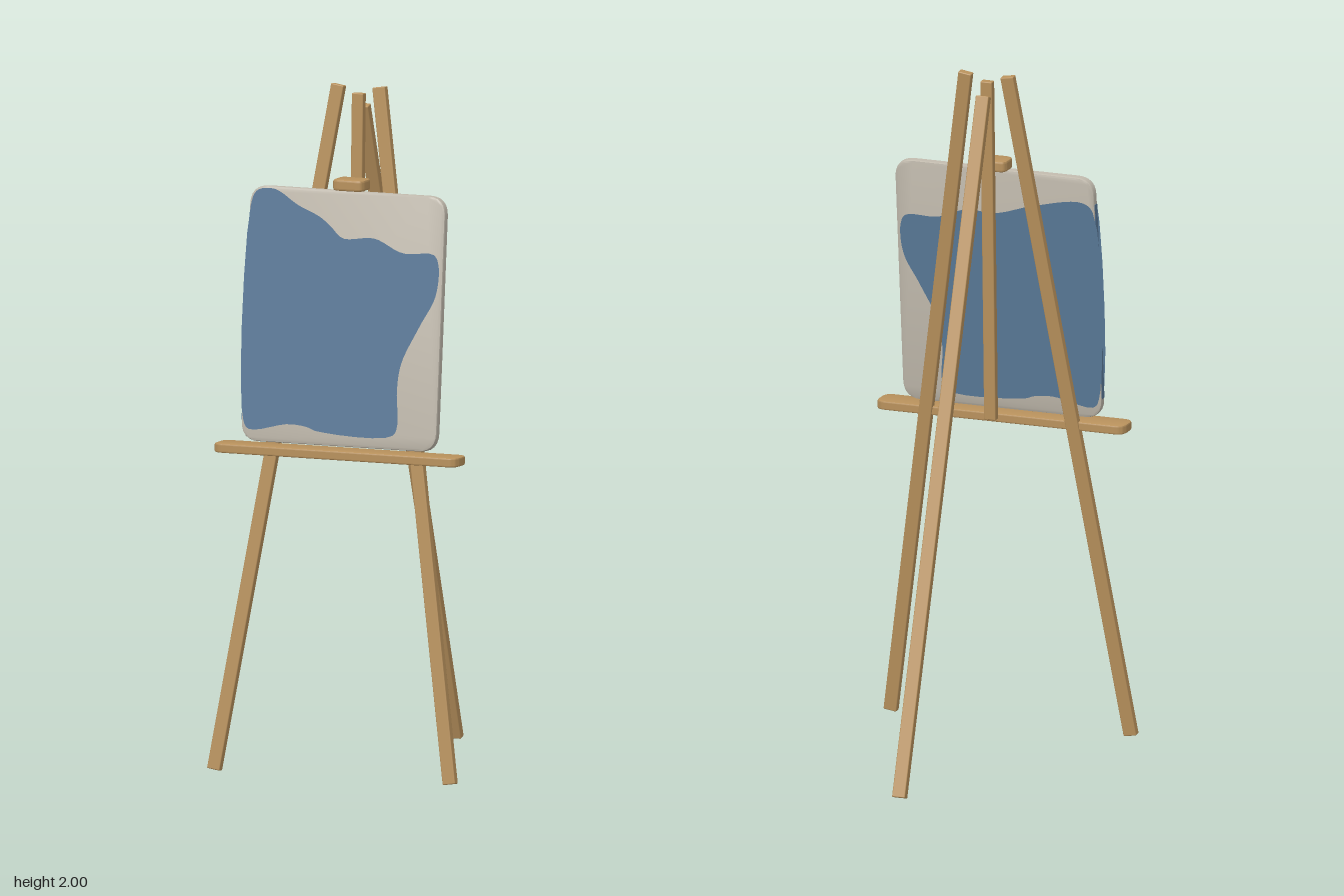
import * as THREE from 'three';
import { toCreasedNormals } from 'three/addons/utils/BufferGeometryUtils.js';
import { RoundedBoxGeometry } from 'three/addons/geometries/RoundedBoxGeometry.js';

const material = (name, color, side = THREE.FrontSide) => {
  const m = new THREE.MeshStandardMaterial({ color, side });
  m.name = name;
  return m;
};

// Rectangular bar running between two points, its width lying along x
function bar(name, from, to, width, depth, mat) {
  const a = new THREE.Vector3(...from), b = new THREE.Vector3(...to);
  const dir = b.clone().sub(a), length = dir.length();
  dir.normalize();
  const z = new THREE.Vector3(1, 0, 0).cross(dir).normalize();
  const x = dir.clone().cross(z);
  const mesh = new THREE.Mesh(new RoundedBoxGeometry(width, length, depth, 2, 0.003), mat);
  mesh.quaternion.setFromRotationMatrix(new THREE.Matrix4().makeBasis(x, dir, z));
  mesh.position.copy(a.add(b).multiplyScalar(0.5));
  mesh.name = name;
  return mesh;
}

// Rounded rectangular slab with softened edges, centred on the origin
function slab(name, width, height, depth, radius, bevel, mat) {
  const w = width / 2 - bevel, h = height / 2 - bevel, r = radius;
  const s = new THREE.Shape();
  s.moveTo(-w + r, -h);
  s.lineTo(w - r, -h);
  s.quadraticCurveTo(w, -h, w, -h + r);
  s.lineTo(w, h - r);
  s.quadraticCurveTo(w, h, w - r, h);
  s.lineTo(-w + r, h);
  s.quadraticCurveTo(-w, h, -w, h - r);
  s.lineTo(-w, -h + r);
  s.quadraticCurveTo(-w, -h, -w + r, -h);
  const g = new THREE.ExtrudeGeometry(s, {
    depth: depth - 2 * bevel, bevelEnabled: true, bevelThickness: bevel,
    bevelSize: bevel, bevelSegments: 2, curveSegments: 6,
  });
  g.translate(0, 0, -depth / 2 + bevel);
  const mesh = new THREE.Mesh(toCreasedNormals(g, 0.7), mat);
  mesh.name = name;
  return mesh;
}

// Flat paint patch with a softly wandering outline
function paintPatch(name, points, centreY, z, mat) {
  const curve = new THREE.CatmullRomCurve3(
    points.map(([x, y]) => new THREE.Vector3(x, y - centreY, 0)), true, 'centripetal');
  const outline = curve.getPoints(120).slice(0, -1).map(p => new THREE.Vector2(p.x, p.y));
  const mesh = new THREE.Mesh(new THREE.ShapeGeometry(new THREE.Shape(outline)), mat);
  mesh.position.z = z;
  mesh.name = name;
  return mesh;
}

export function createModel() {
  const model = new THREE.Group();
  model.name = 'easel';
  const wood = material('wood', 0xb8915c);
  const linen = material('linen', 0xc0b9ac);
  const blue = material('bluePaint', 0x5a7a99, THREE.DoubleSide);

  // Legs and centre post
  for (const [side, s] of [['left', 1], ['right', -1]]) {
    model.add(bar(side + 'FrontLeg', [s * 0.373, 0.004, 0.437], [s * 0.065, 1.996, 0.247], 0.04, 0.023, wood));
  }
  model.add(bar('rearLeg', [0, 0.004, -0.436], [0, 1.937, 0.221], 0.04, 0.024, wood));
  model.add(bar('centrePost', [0, 0.953, 0.28], [0, 1.975, 0.25], 0.036, 0.023, wood));

  // Tray and top clamp, laid flat
  const tray = slab('tray', 0.772, 0.086, 0.027, 0.025, 0.005, wood);
  tray.rotation.x = -Math.PI / 2;
  tray.position.set(0, 0.94, 0.385);
  const clamp = slab('topClamp', 0.098, 0.073, 0.033, 0.014, 0.007, wood);
  clamp.rotation.x = -Math.PI / 2;
  clamp.position.set(0, 1.715, 0.301);
  model.add(tray, clamp);

  // Canvas leaning back with the front legs
  const centreY = 1.33;
  const canvas = new THREE.Group();
  canvas.name = 'canvas';
  canvas.position.set(0, centreY, 0.349);
  canvas.rotation.x = -0.095;
  canvas.add(slab('canvasBoard', 0.618, 0.74, 0.028, 0.05, 0.006, linen));

  // Paint: right-hand outline and lower edge are shared by front and back
  const lower = [
    [0.28, 1.53], [0.296, 1.5], [0.29, 1.41], [0.243, 1.32], [0.19, 1.21], [0.18, 1.13],
    [0.185, 1.03], [0.17, 1.0], [-0.07, 1.0], [-0.1, 1.01], [-0.16, 1.015], [-0.285, 0.995], [-0.304, 1.03],
  ];
  const frontTop = [
    [-0.304, 1.64], [-0.285, 1.685], [-0.23, 1.692], [-0.155, 1.65], [-0.085, 1.62],
    [-0.05, 1.595], [-0.01, 1.562], [0.09, 1.567], [0.18, 1.53],
  ];
  const backTop = [[-0.304, 1.6], [-0.27, 1.625], [-0.12, 1.6], [0, 1.565], [0.09, 1.567], [0.18, 1.535]];
  canvas.add(paintPatch('frontPaint', [...frontTop, ...lower], centreY, 0.0152, blue));
  canvas.add(paintPatch('backPaint', [...backTop, ...lower], centreY, -0.0152, blue));

  // Paint wrapped over the right edge
  const edge = new THREE.Mesh(new THREE.BoxGeometry(0.002, 0.6, 0.018), blue);
  edge.position.set(-0.3088, -0.01, 0);
  edge.name = 'edgePaint';
  canvas.add(edge);
  model.add(canvas);

  return model;
}
